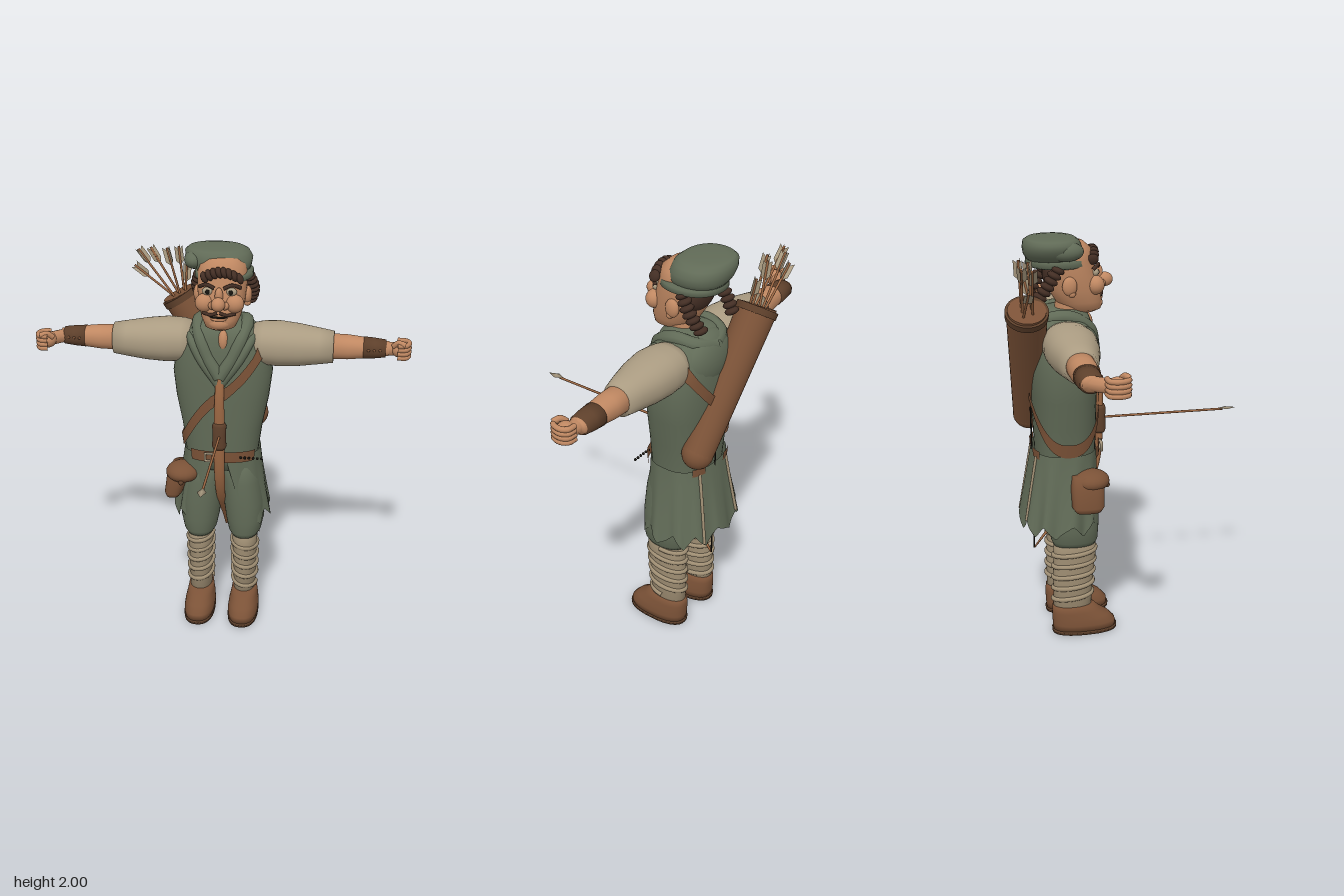
import * as THREE from 'three';

const V = (x, y, z) => new THREE.Vector3(x, y, z);
const mat = (name, color, side = THREE.FrontSide) => {
  const m = new THREE.MeshStandardMaterial({ color, side });
  m.name = name;
  return m;
};
const lerp = THREE.MathUtils.lerp;

// Smooth surface from f(u, v); u runs around, v runs up
function surface(f, nu, nv, closed = true) {
  const pos = [], idx = [], cols = closed ? nu : nu + 1;
  for (let j = 0; j <= nv; j++)
    for (let i = 0; i < cols; i++) pos.push(...f(i / nu, j / nv));
  for (let j = 0; j < nv; j++)
    for (let i = 0; i < nu; i++) {
      const a = j * cols + i, b = j * cols + (i + 1) % cols, c = a + cols, d = b + cols;
      idx.push(a, c, b, b, c, d);
    }
  const g = new THREE.BufferGeometry();
  g.setAttribute('position', new THREE.Float32BufferAttribute(pos, 3));
  g.setIndex(idx);
  g.computeVertexNormals();
  return g;
}
const bend = (c, n) => Math.sign(c) * Math.abs(c) ** (2 / n);

// Stacked oval sections [y, centre x, centre z, radius x, radius z], closed at both ends
function loft(secs, n = 2.2) {
  const tip = s => [s[0], s[1], s[2], 0.001, 0.001];
  const all = [tip(secs[0]), ...secs, tip(secs[secs.length - 1])];
  return surface((u, v) => {
    const [y, cx, cz, rx, rz] = all[Math.round(v * (all.length - 1))], t = u * Math.PI * 2;
    return [cx + rx * bend(Math.cos(t), n), y, cz + rz * bend(Math.sin(t), n)];
  }, 40, all.length - 1);
}
function sectionAt(secs, y) {
  let i = 0;
  while (i < secs.length - 2 && secs[i + 1][0] < y) i++;
  const k = (y - secs[i][0]) / (secs[i + 1][0] - secs[i][0]);
  return secs[i].map((a, c) => lerp(a, secs[i + 1][c], k));
}
const tube = (pts, r, n = 40) => new THREE.TubeGeometry(new THREE.CatmullRomCurve3(pts.map(p => V(...p))), n, r, 10);

const TORSO = [[0.88, 0, -0.295, 0.185, 0.14], [0.95, 0, -0.295, 0.185, 0.145], [1.1, 0, -0.295, 0.205, 0.15],
  [1.25, 0, -0.3, 0.235, 0.158], [1.38, 0, -0.305, 0.25, 0.165], [1.5, 0, -0.305, 0.235, 0.16],
  [1.58, 0, -0.305, 0.2, 0.148], [1.63, 0, -0.3, 0.15, 0.125], [1.66, 0, -0.3, 0.08, 0.08]];

export function createModel() {
  const root = new THREE.Group();
  root.name = 'archer';
  const green = mat('greenCloth', 0x616b57, THREE.DoubleSide), cream = mat('creamLinen', 0xab9c82);
  const wrap = mat('legWrap', 0x9f8e73), skin = mat('skin', 0xc08862);
  const leather = mat('leather', 0x7b5237, THREE.DoubleSide), dark = mat('darkLeather', 0x5e402b);
  const hair = mat('hair', 0x432e24), wood = mat('wood', 0x9a6642);
  const black = mat('black', 0x17140f), feather = mat('feather', 0xa99a80, THREE.DoubleSide);

  const add = (name, geo, m, parent = root) => {
    const mesh = new THREE.Mesh(geo, m);
    mesh.name = name;
    parent.add(mesh);
    return mesh;
  };
  const ball = (name, p, r, m, parent = root) => {
    const b = add(name, new THREE.SphereGeometry(1, 20, 14), m, parent);
    b.position.set(...p);
    if (Array.isArray(r)) b.scale.set(...r); else b.scale.setScalar(r);
    return b;
  };
  const rod = (name, a, b, r0, r1, m, parent = root, sides = 10) => {
    const A = V(...a), B = V(...b), d = B.clone().sub(A);
    const mesh = add(name, new THREE.CylinderGeometry(r1, r0, d.length(), sides), m, parent);
    mesh.position.copy(A).add(B).multiplyScalar(0.5);
    mesh.quaternion.setFromUnitVectors(V(0, 1, 0), d.normalize());
    return mesh;
  };

  // Tunic, hood and collar
  add('tunic', loft(TORSO, 2.5), green);
  ball('hood', [0.01, 1.52, -0.39], [0.17, 0.14, 0.085], green);
  for (const s of [-1, 1]) {
    for (const [k, r] of [[0, 0.034], [0.04, 0.024]])
      add('collar', tube([[0, 1.39 - k, -0.145], [s * (0.055 + k), 1.48, -0.16], [s * (0.1 + k), 1.58 - k / 2, -0.19],
        [s * (0.12 + k), 1.635 - k, -0.29], [s * 0.09, 1.62, -0.39], [0, 1.6, -0.43]], r), green);
  }
  // Band laid around the tunic
  const ribbon = (name, t0, t1, yFn, half, off) => add(name, surface((u, v) => {
    const t = lerp(t0, t1, u) * Math.PI, y = yFn(t) + lerp(-half, half, v);
    const [, cx, cz, rx, rz] = sectionAt(TORSO, y);
    return [cx + (rx + off) * bend(Math.cos(t), 2.5), y, cz + (rz + off) * bend(Math.sin(t), 2.5)];
  }, 60, 2, false), leather);
  ribbon('strap', 0, 2, t => 1.29 + 0.29 * Math.cos(t), 0.034, 0.013);
  ribbon('belt', 0.2, 0.72, () => 0.966, 0.03, 0.02);
  for (const a of [1.3, 1.6]) ribbon('beltBack', a, a + 0.13, () => 0.965, 0.022, 0.022);
  const buckle = add('buckle', new THREE.TorusGeometry(0.028, 0.008, 8, 4, Math.PI * 2), feather);
  buckle.geometry.rotateZ(Math.PI / 4);
  buckle.position.set(-0.05, 0.966, -0.122);
  for (let i = 0; i < 6; i++) ball('beltStud', [0.11 + i * 0.021, 0.965, -0.14], 0.007, black);

  // Ragged skirt, parted at the front
  const skirtPoint = (t, v, k = 1) => {
    const d = 1 - v, jag = Math.abs(((t * 3.3) % 2) - 1);
    const fold = k * (1 + 0.035 * Math.sin(t * 11) * d);
    return [(0.195 + 0.055 * d ** 1.2) * fold * bend(Math.cos(t), 2.5), lerp(0.56 + 0.07 * jag, 0.97, v),
      -0.3 - 0.03 * d + (0.155 + 0.035 * d) * fold * bend(Math.sin(t), 2.5)];
  };
  add('skirt', surface((u, v) => {
    const gap = 0.08 + 0.45 * (1 - v);
    return skirtPoint(lerp(Math.PI / 2 + gap, Math.PI * 2.5 - gap, u), v);
  }, 120, 10, false), green);
  for (const t of [1.36, 1.66])
    add('skirtSeam', tube([0.02, 0.3, 0.6, 0.95].map(v => skirtPoint(t * Math.PI, v, 1.01)), 0.008), wrap);

  // Breeches, wrapped legs and shoes
  for (const s of [-1, 1]) {
    const leg = new THREE.Group();
    leg.name = s > 0 ? 'leftLeg' : 'rightLeg';
    leg.position.x = 0.005 + s * 0.118;
    root.add(leg);
    add('breeches', loft([[0.485, 0, -0.27, 0.07, 0.105], [0.51, 0, -0.27, 0.085, 0.115], [0.58, 0, -0.275, 0.1, 0.125],
      [0.68, -s * 0.008, -0.275, 0.105, 0.128], [0.8, -s * 0.02, -0.28, 0.1, 0.13], [0.92, -s * 0.03, -0.285, 0.09, 0.12]]), green, leg);
    add('stocking', loft([[0.13, 0, -0.285, 0.058, 0.095], [0.3, 0, -0.28, 0.06, 0.1], [0.42, 0, -0.27, 0.065, 0.105],
      [0.51, 0, -0.27, 0.066, 0.105]]), wrap, leg);
    const coil = [];
    for (let i = 0; i <= 80; i++) {
      const t = i / 80, a = s * t * Math.PI * 10;
      coil.push([(0.06 + 0.006 * t) * Math.cos(a), lerp(0.17, 0.47, t), lerp(-0.285, -0.27, t) + (0.096 + 0.009 * t) * Math.sin(a)]);
    }
    add('legBinding', tube(coil, 0.0125, 200), wrap, leg);
    add('shoe', loft([[0.015, 0, -0.225, 0.079, 0.16], [0.05, 0, -0.228, 0.081, 0.158], [0.085, 0, -0.245, 0.077, 0.143],
      [0.115, 0, -0.268, 0.07, 0.12], [0.15, 0, -0.283, 0.064, 0.101]], 2.4), leather, leg);
    add('sole', loft([[0, 0, -0.225, 0.08, 0.163], [0.02, 0, -0.225, 0.082, 0.165]], 2.4), dark, leg);
  }

  // Arms, built towards +x and mirrored
  for (const s of [-1, 1]) {
    const arm = new THREE.Group();
    arm.name = s > 0 ? 'leftArm' : 'rightArm';
    arm.scale.x = s;
    root.add(arm);
    const along = (name, secs, m) => add(name, loft(secs.map(([x, y, z, ry, rz]) => [x, -y, z, ry, rz])).rotateZ(-Math.PI / 2), m, arm);
    along('sleeve', [[0.13, 1.53, -0.3, 0.09, 0.1], [0.2, 1.53, -0.3, 0.105, 0.12], [0.28, 1.53, -0.297, 0.11, 0.125],
      [0.38, 1.527, -0.297, 0.102, 0.115], [0.48, 1.524, -0.298, 0.088, 0.093], [0.55, 1.522, -0.3, 0.078, 0.074]], cream);
    along('forearm', [[0.52, 1.525, -0.3, 0.062, 0.066], [0.62, 1.525, -0.3, 0.06, 0.063], [0.71, 1.525, -0.3, 0.05, 0.055],
      [0.82, 1.525, -0.3, 0.034, 0.042]], skin);
    along('bracer', [[0.695, 1.525, -0.3, 0.053, 0.06], [0.75, 1.525, -0.3, 0.049, 0.056], [0.805, 1.525, -0.3, 0.042, 0.05]], dark);
    for (let i = 0; i < 3; i++) ball('bracerStud', [0.72 + i * 0.028, 1.53, -0.243 - i * 0.003], 0.007, leather, arm);
    // Fist; the right wrist bends forward
    const z = s > 0 ? -0.285 : -0.205;
    add('wrist', tube([[0.79, 1.525, -0.3], [0.83, 1.527, lerp(-0.3, z, 0.4)], [0.875, 1.53, z]], 0.034, 12), skin, arm);
    ball('palm', [0.87, 1.53, z], [0.042, 0.04, 0.045], skin, arm);
    for (let i = 0; i < 4; i++)
      add('finger', tube([[0.86, 1.562 - i * 0.021, z - 0.04], [0.9, 1.562 - i * 0.021, z - 0.035], [0.917, 1.562 - i * 0.021, z],
        [0.9, 1.562 - i * 0.021, z + 0.043], [0.86, 1.56 - i * 0.02, z + 0.045]], 0.0125, 16), skin, arm);
    add('thumb', tube([[0.84, 1.55, z + 0.02], [0.865, 1.572, z + 0.035], [0.9, 1.565, z + 0.05]], 0.014, 12), skin, arm);
  }

  // Head and face
  rod('neck', [0, 1.55, -0.27], [0, 1.7, -0.25], 0.07, 0.075, skin, root, 24);
  ball('throat', [0.015, 1.57, -0.185], [0.03, 0.06, 0.04], skin);
  add('head', loft([[1.635, 0, -0.19, 0.045, 0.05], [1.65, 0, -0.195, 0.075, 0.085], [1.69, 0, -0.215, 0.095, 0.11],
    [1.75, 0, -0.237, 0.112, 0.125], [1.82, 0, -0.255, 0.12, 0.125], [1.89, 0, -0.268, 0.123, 0.118],
    [1.94, 0, -0.265, 0.112, 0.107], [1.968, 0, -0.27, 0.08, 0.08], [1.98, 0, -0.27, 0.03, 0.03]]), skin);
  ball('nose', [0, 1.782, -0.088], [0.034, 0.034, 0.038], skin);
  ball('noseBridge', [0, 1.815, -0.122], [0.02, 0.04, 0.025], skin);
  ball('chin', [0, 1.675, -0.14], [0.055, 0.035, 0.04], skin);
  ball('lip', [0, 1.7, -0.118], [0.04, 0.01, 0.018], skin);
  ball('mouth', [0, 1.711, -0.115], [0.045, 0.006, 0.014], black);
  for (const s of [-1, 1]) {
    ball('cheek', [s * 0.073, 1.772, -0.145], [0.046, 0.045, 0.042], skin);
    ball('nostril', [s * 0.03, 1.77, -0.11], 0.02, skin);
    ball('eye', [s * 0.058, 1.83, -0.145], [0.026, 0.02, 0.018], cream);
    ball('pupil', [s * 0.056, 1.83, -0.129], [0.011, 0.012, 0.005], black);
    add('eyebrow', tube([[s * 0.022, 1.85, -0.125], [s * 0.06, 1.866, -0.13], [s * 0.1, 1.846, -0.165]], 0.009, 12), hair);
    add('moustache', tube([[s * 0.004, 1.735, -0.105], [s * 0.04, 1.723, -0.112], [s * 0.08, 1.728, -0.13]], 0.008, 12), hair);
    ball('ear', [s * 0.122, 1.78, -0.275], [0.022, 0.045, 0.035], skin);
    ball('earLobe', [s * 0.122, 1.745, -0.265], 0.018, skin);
    // Twisted lock of hair behind the ear
    for (let i = 0; i < 7; i++) {
      const b = ball('hairLock', [s * (0.12 + 0.018 * Math.sin(i / 2)), 1.86 - i * 0.024, -0.33 - i * 0.017], [0.034, 0.018, 0.034], hair);
      b.rotation.x = 0.5;
    }
  }
  ball('backHair', [0, 1.82, -0.345], [0.1, 0.07, 0.04], hair);
  // Curl over the forehead
  for (let i = 0; i < 8; i++) {
    const a = i / 7;
    const b = ball('foreheadCurl', [lerp(-0.075, 0.095, a), 1.893 + 0.03 * Math.sin(a * Math.PI), -0.145 - 0.05 * (a - 0.5) ** 2], [0.017, 0.028, 0.027], hair);
    b.rotation.z = 0.4;
  }

  // Soft cap leaning to one side
  add('capBand', loft([[1.86, 0, -0.305, 0.128, 0.138], [1.87, 0.003, -0.31, 0.143, 0.153], [1.895, 0.003, -0.312, 0.143, 0.148],
    [1.905, 0, -0.32, 0.125, 0.128]]), green);
  add('cap', loft([[1.89, 0.0, -0.325, 0.125, 0.13], [1.92, -0.015, -0.335, 0.15, 0.138], [1.95, -0.025, -0.34, 0.165, 0.138],
    [1.98, -0.035, -0.345, 0.157, 0.13], [1.994, -0.04, -0.345, 0.135, 0.112], [2, -0.04, -0.345, 0.09, 0.08]]), green);
  ball('capFlop', [-0.14, 1.945, -0.29], [0.05, 0.045, 0.08], green);

  // Quiver across the back
  const top = [-0.245, 1.7, -0.492], end = [0.145, 1.09, -0.45];
  rod('quiver', end, top, 0.075, 0.094, leather, root, 32);
  ball('quiverEnd', end, 0.076, leather);
  rod('quiverRim', [-0.23, 1.677, -0.491], [-0.248, 1.705, -0.492], 0.099, 0.1, dark, root, 32);
  rod('quiverMouth', [-0.24, 1.69, -0.492], [-0.251, 1.71, -0.492], 0.088, 0.088, leather, root, 32);
  // Arrows with three-bladed fletching
  const vane = new THREE.Shape([[0, 0], [0.024, 0.025], [0.024, 0.1], [0, 0.08]].map(p => new THREE.Vector2(...p)));
  const tips = [[-0.48, 1.84, -0.51], [-0.455, 1.93, -0.49], [-0.4, 1.93, -0.53], [-0.31, 1.94, -0.49], [-0.255, 1.94, -0.525], [-0.21, 1.86, -0.5]];
  tips.forEach((tip, i) => {
    const from = [-0.275 + i * 0.012, 1.68 + i * 0.006, -0.492 + (i % 2 ? 0.025 : -0.02)];
    const arrow = new THREE.Group();
    arrow.name = 'quiverArrow';
    root.add(arrow);
    rod('shaft', from, tip, 0.006, 0.006, wood, arrow, 8);
    const dir = V(...tip).sub(V(...from)).normalize();
    const fletching = new THREE.Group();
    fletching.name = 'fletching';
    fletching.position.set(...tip).addScaledVector(dir, -0.095);
    fletching.quaternion.setFromUnitVectors(V(0, 1, 0), dir);
    arrow.add(fletching);
    for (let k = 0; k < 3; k++) add('vane', new THREE.ShapeGeometry(vane), feather, fletching).rotation.y = k * Math.PI * 2 / 3 + i * 0.4;
  });

  // Belt pouch with flap
  add('pouch', loft([[0.705, -0.25, -0.22, 0.035, 0.06], [0.73, -0.245, -0.22, 0.047, 0.078], [0.82, -0.225, -0.22, 0.055, 0.08],
    [0.88, -0.205, -0.22, 0.05, 0.07]], 2.8), leather);
  ball('pouchFlap', [-0.195, 0.845, -0.2], [0.088, 0.052, 0.092], leather);
  ball('pouchButton', [-0.195, 0.815, -0.118], 0.013, dark);

  // Bow standing upright in front, with nocked arrow
  const stave = new THREE.CatmullRomCurve3([[0.42, -0.455], [0.54, -0.36], [0.68, -0.22], [0.84, -0.14], [1.09, -0.118],
    [1.34, -0.127], [1.5, -0.2], [1.64, -0.34]].map(([y, z]) => V(0.003, y, z)));
  add('bow', surface((u, v) => {
    const p = stave.getPointAt(v), d = stave.getTangentAt(v), a = u * Math.PI * 2;
    const w = 0.006 + 0.022 * Math.sin(v * Math.PI), n = 0.6 * w * Math.sin(a);
    return [p.x + w * Math.cos(a), p.y - d.z * n, p.z + d.y * n];
  }, 14, 50), wood);
  add('bowGrip', loft([[1.02, 0.003, -0.119, 0.03, 0.026], [1.035, 0.003, -0.119, 0.036, 0.031], [1.1, 0.003, -0.119, 0.033, 0.03],
    [1.145, 0.003, -0.119, 0.036, 0.031], [1.16, 0.003, -0.119, 0.028, 0.026]]), dark);
  rod('bowString', [0.003, 0.42, -0.456], [0.003, 1.6, -0.456], 0.004, 0.004, black, root, 6);
  rod('arrowShaft', [0.005, 1.092, -0.44], [0.005, 1.092, 0.51], 0.006, 0.006, wood);
  const head = add('arrowHead', new THREE.SphereGeometry(1, 4, 2), feather);
  head.scale.set(0.022, 0.006, 0.05);
  head.position.set(0.005, 1.096, 0.53);
  return root;
}
